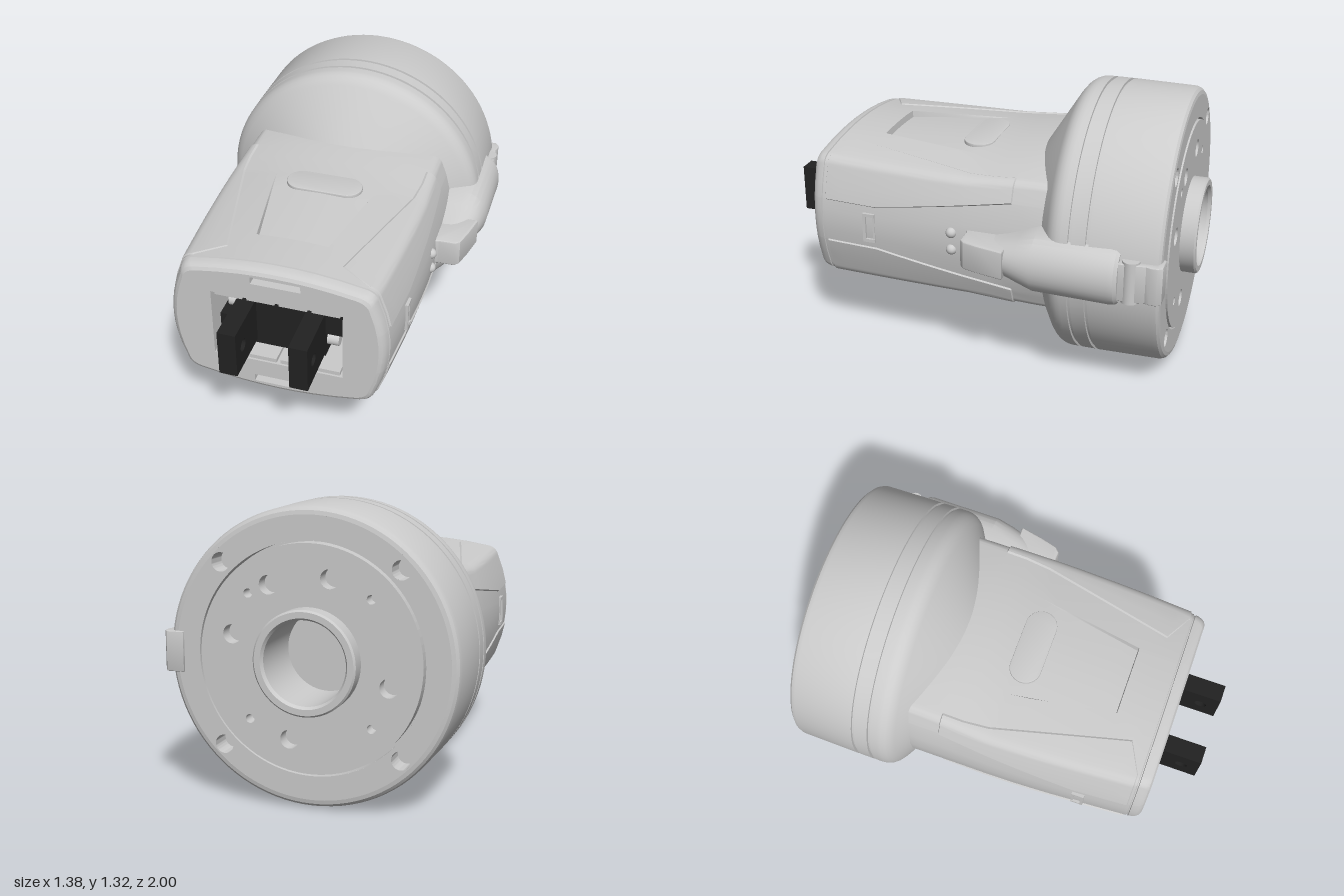
import * as THREE from 'three';
import { toCreasedNormals } from 'three/addons/utils/BufferGeometryUtils.js';

const X0 = -0.035, Y0 = 0.665; // main axis, running along z
const grey = new THREE.MeshStandardMaterial({ color: 0xcccccc, side: THREE.DoubleSide });
const black = new THREE.MeshStandardMaterial({ color: 0x222222 });
const { clamp, lerp, mapLinear } = THREE.MathUtils;
const ramp = (z, z0, z1, a, b) => lerp(a, b, clamp(mapLinear(z, z0, z1, 0, 1), 0, 1));

export function createModel() {
  const model = new THREE.Group();

  const add = (name, geo, x = 0, y = 0, z = 0, mat = grey) => {
    const mesh = new THREE.Mesh(geo, mat);
    mesh.name = name;
    mesh.position.set(x, y, z);
    model.add(mesh);
    return mesh;
  };
  const box = (name, x0, x1, y0, y1, z0, z1, mat) =>
    add(name, new THREE.BoxGeometry(x1 - x0, y1 - y0, z1 - z0), (x0 + x1) / 2, (y0 + y1) / 2, (z0 + z1) / 2, mat);

  // box without its front wall
  const pocket = (name, x0, x1, y0, y1, z0, z1) => {
    const mesh = box(name, x0, x1, y0, y1, z0, z1);
    const index = Array.from(mesh.geometry.index.array);
    index.splice(24, 6);
    mesh.geometry.clearGroups();
    mesh.geometry.setIndex(index);
  };

  // skin over closed rings of equal length, ordered by rising z
  const loft = (rings, capped) => {
    const n = rings[0].length, pos = rings.flat(2), idx = [];
    for (let i = 0; i < rings.length - 1; i++) {
      for (let j = 0; j < n; j++) {
        const a = i * n + j, b = i * n + (j + 1) % n;
        idx.push(a, b, b + n, a, b + n, a + n);
      }
    }
    if (capped) {
      const last = (rings.length - 1) * n;
      for (let j = 1; j < n - 1; j++) idx.push(0, j + 1, j, last, last + j, last + j + 1);
    }
    const geo = new THREE.BufferGeometry();
    geo.setAttribute('position', new THREE.Float32BufferAttribute(pos, 3));
    geo.setIndex(idx);
    return toCreasedNormals(geo, 0.4);
  };

  const lathe = (pts) => toCreasedNormals(
    new THREE.LatheGeometry(pts.map(([r, z]) => new THREE.Vector2(r, z)), 96).rotateX(Math.PI / 2), 0.4);
  const polygon = (pts) => new THREE.Shape(pts.map(([x, y]) => new THREE.Vector2(x, y)));
  const circleHole = (x, y, r) => new THREE.Path().absarc(x, y, r, 0, Math.PI * 2, true);
  const rectHole = (x0, x1, y0, y1) =>
    new THREE.Path([[x0, y0], [x0, y1], [x1, y1], [x1, y0]].map(([x, y]) => new THREE.Vector2(x, y)));
  // outline in the x / -z plane raised along y
  const extrudeUp = (shape, depth, bevel = 0.01) => toCreasedNormals(new THREE.ExtrudeGeometry(shape, {
    depth, bevelEnabled: bevel > 0, bevelSize: bevel, bevelThickness: bevel, bevelOffset: -bevel, bevelSegments: 3,
    curveSegments: 20 }).rotateX(-Math.PI / 2), 0.4);

  // ---- housing: bowed rectangle with sunk panels and raised corner guards ----
  const section = (z, { inset = 0, guard = false, sunk = 0 } = {}) => {
    const W = 0.545 - 0.04 * Math.pow(clamp(z / 0.8, 0, 1), 1.6) - inset;
    const H = 0.348 + ramp(z, -0.25, 0.02, 0.018, 0) - inset;
    const cx = W - 0.1, cy = H - 0.09, e = 0.004;
    const topY = (x) => H - 0.045 * (x / 0.42) ** 2;
    const sideX = (y) => W - 0.06 * (y / 0.27) ** 2;
    const t = ramp(z, 0.05, 0.55, 0.25, 0.165);
    const a = Math.min(z < 0.66 ? ramp(z, -0.2, 0.66, 0.475, 0.265) : ramp(z, 0.66, 0.73, 0.265, 0.44), cx - 0.012);
    const s = ramp(z, -0.2, 0.47, 0.215, 0.105);
    const k = guard ? 1.014 : 1;
    const q = [0, t / 2, t].map((x) => [x, topY(x) - sunk]);
    for (const x of [t + e, (t + a) / 2, a]) q.push([x, topY(x)]);
    for (const x of [a + e, (a + e + cx) / 2, cx]) q.push([x * k, topY(x) * k]);
    const corner = new THREE.QuadraticBezierCurve(new THREE.Vector2(cx, topY(cx)),
      new THREE.Vector2(sideX(cy) - 0.008, topY(cx) - 0.012), new THREE.Vector2(sideX(cy), cy));
    for (let i = 1; i < 7; i++) {
      const p = corner.getPoint(i / 7);
      q.push([p.x * k, p.y * k]);
    }
    for (const y of [cy, (cy + s) / 2, s + e]) q.push([sideX(y) * k, y * k]);
    for (const y of [s, s / 2, 0]) q.push([sideX(y), y]);
    return [
      ...q,
      ...q.slice(0, -1).reverse().map(([x, y]) => [x, -y]),
      ...q.slice(1).map(([x, y]) => [-x, -y]),
      ...q.slice(1, -1).reverse().map(([x, y]) => [-x, y]),
    ].reverse().map(([x, y]) => [x + X0, y + Y0, z]);
  };
  const rows = [[-0.42], [-0.3], [-0.204]];
  for (const z of [-0.2, -0.1, 0.02, 0.05, 0.15, 0.25, 0.36, 0.47, 0.55]) {
    rows.push([z, { guard: true, sunk: ramp(z, 0.05, 0.55, 0, 0.032) }]);
  }
  for (const z of [0.554, 0.66, 0.73]) rows.push([z, { guard: true }]);
  rows.push([0.734], [0.745], [0.747, { inset: 0.006 }], [0.753, { inset: 0.006 }], [0.755],
    [0.775, { inset: 0.003 }], [0.79, { inset: 0.008 }], [0.802, { inset: 0.017 }], [0.81, { inset: 0.032 }]);
  const rings = rows.map(([z, o]) => section(z, o));
  add('housing', loft(rings));

  // front face with the connector opening and two slots
  const face = polygon(rings.at(-1));
  const opening = [-0.335, 0.275, 0.49, 0.845];
  const slots = [[-0.145, 0.085, 0.93, 0.967], [-0.145, 0.085, 0.363, 0.4]];
  face.holes.push(rectHole(...opening), ...slots.map((s) => rectHole(...s)));
  add('frontFace', new THREE.ShapeGeometry(face), 0, 0, 0.81);
  pocket('connectorBay', ...opening, 0.5, 0.81);
  for (const s of slots) pocket('frontSlot', ...s, 0.77, 0.81);
  for (let i = 0; i < 4; i++) {
    const x = -0.32 + i * 0.15;
    box('bayRib', x, x + 0.13, 0.825, 0.845, 0.55, 0.8);
    box('bayRib', x, x + 0.13, 0.49, 0.51, 0.55, 0.8);
  }

  // connector blocks, pins and the two pierced prongs
  box('upperBlock', -0.235, 0.265, 0.668, 0.8, 0.5, 0.74, black);
  box('lowerBlock', -0.325, 0.175, 0.535, 0.668, 0.5, 0.74, black);
  const pin = new THREE.CylinderGeometry(0.032, 0.032, 0.06, 20).rotateZ(Math.PI / 2);
  add('upperPin', pin, -0.26, 0.727, 0.69);
  add('lowerPin', pin, 0.2, 0.608, 0.69);
  const prong = polygon([[-1, 0.555], [-0.7, 0.555], [-0.7, 0.785], [-1, 0.785]]);
  prong.holes.push(circleHole(-0.915, 0.665, 0.03));
  const prongGeo = new THREE.ExtrudeGeometry(prong, { depth: 0.085, bevelEnabled: false }).rotateY(Math.PI / 2);
  for (const x of [-0.235, 0.09]) add('prong', prongGeo, x, 0, 0, black);

  // oval badge and side details
  const oval = new THREE.Shape();
  oval.absarc(0.11, 0, 0.075, -Math.PI / 2, Math.PI / 2);
  oval.absarc(-0.11, 0, 0.075, Math.PI / 2, Math.PI * 1.5);
  add('badge', extrudeUp(oval, 0.02, 0.004), -0.03, 0.992, 0.085);
  for (const side of [-1, 1]) {
    const x = X0 + side * 0.523;
    for (const y of [0.6, 0.73]) box('sideSlotFrame', x - 0.012, x + 0.012, y - 0.008, y + 0.008, 0.47, 0.53);
    box('sideSlotFrame', x - 0.012, x + 0.012, 0.6, 0.73, 0.515, 0.53);
    box('sideSlotFrame', x - 0.008, x + 0.008, 0.6, 0.73, 0.47, 0.48);
  }
  for (const y of [0.625, 0.71]) add('indicator', new THREE.SphereGeometry(0.026, 20, 14), 0.502, y, 0.08);

  // ---- drum with two grooves and a cone towards the housing ----
  add('drum', lathe([[0.19, -0.86], [0.51, -0.86], [0.51, -0.92]]), X0, Y0);
  const shell = [[0.618, -0.92], [0.636, -0.916], [0.648, -0.905], [0.655, -0.885]];
  for (const z of [-0.59, -0.51]) {
    shell.push([0.66, z - 0.008], [0.648, z - 0.007], [0.648, z + 0.007], [0.66, z + 0.008]);
  }
  shell.push([0.66, -0.47], [0.658, -0.45], [0.65, -0.43], [0.637, -0.412], [0.615, -0.394], [0.365, -0.24], [0.3, -0.2]);
  add('drumShell', lathe(shell), X0, Y0);

  // rear rim with four screw wells
  const rim = new THREE.Shape().absarc(0, 0, 0.618, 0, Math.PI * 2);
  rim.holes.push(circleHole(0, 0, 0.51));
  const plate = new THREE.Shape().absarc(0, 0, 0.5, 0, Math.PI * 2);
  plate.holes.push(circleHole(0, 0, 0.2));
  const polar = (deg, r) => [r * Math.cos(deg * Math.PI / 180), r * Math.sin(deg * Math.PI / 180)];
  for (const deg of [45, 135, 225, 315]) {
    const [x, y] = polar(deg, 0.57);
    rim.holes.push(circleHole(x, y, 0.042));
    add('screwWell', lathe([[0, -0.82], [0.042, -0.82], [0.042, -0.92]]), X0 + x, Y0 + y);
    plate.holes.push(circleHole(...polar(deg, 0.39), 0.02));
  }
  for (const deg of [15, 60, 105, 195, 285]) plate.holes.push(circleHole(...polar(deg, 0.365), 0.042));
  add('rearRim', new THREE.ShapeGeometry(rim, 64).rotateY(Math.PI), X0, Y0, -0.92).scale.x = -1;
  add('mountingPlate', new THREE.ExtrudeGeometry(plate, { depth: 0.065, bevelEnabled: false, curveSegments: 48 }), X0, Y0, -0.926);
  add('centreCollar', lathe([[0, -0.7], [0.185, -0.7], [0.185, -0.985], [0.195, -1], [0.222, -1], [0.23, -0.992], [0.23, -0.9]]), X0, Y0);

  // ---- latch on the left side ----
  const podRing = ([z, h, x]) => {
    const ring = [[0.45, -h, z]];
    for (let i = 0; i <= 16; i++) {
      const a = (i / 16 - 0.5) * Math.PI;
      ring.push([0.51 + (x - 0.51) * Math.pow(Math.max(Math.cos(a), 0), 0.65), h * Math.sin(a), z]);
    }
    ring.push([0.45, h, z]);
    return ring;
  };
  add('latchPod', loft([[-0.74, 0.138, 0.67], [-0.725, 0.146, 0.685], [-0.7, 0.148, 0.69], [-0.35, 0.14, 0.69],
    [-0.27, 0.11, 0.675], [-0.2, 0.085, 0.655], [-0.14, 0.07, 0.625]].map(podRing), true), 0, Y0);
  const tongue = polygon([[0.47, -0.02], [0.52, 0], [0.6, 0], [0.622, 0.02], [0.645, 0.1], [0.67, 0.22], [0.47, 0.22]]);
  add('latchTongue', extrudeUp(tongue, 0.12), 0, 0.605, 0);
  const hook = polygon([[0.6, 0.7], [0.65, 0.7], [0.645, 0.82], [0.638, 0.86], [0.645, 0.88], [0.645, 0.91],
    [0.63, 0.932], [0.55, 0.932], [0.55, 0.915], [0.6, 0.9]]);
  add('latchHook', extrudeUp(hook, 0.17, 0.006), 0, 0.58, 0);
  add('latchPivot', new THREE.CylinderGeometry(0.04, 0.04, 0.2, 24), 0.615, Y0, -0.79);

  return model;
}
